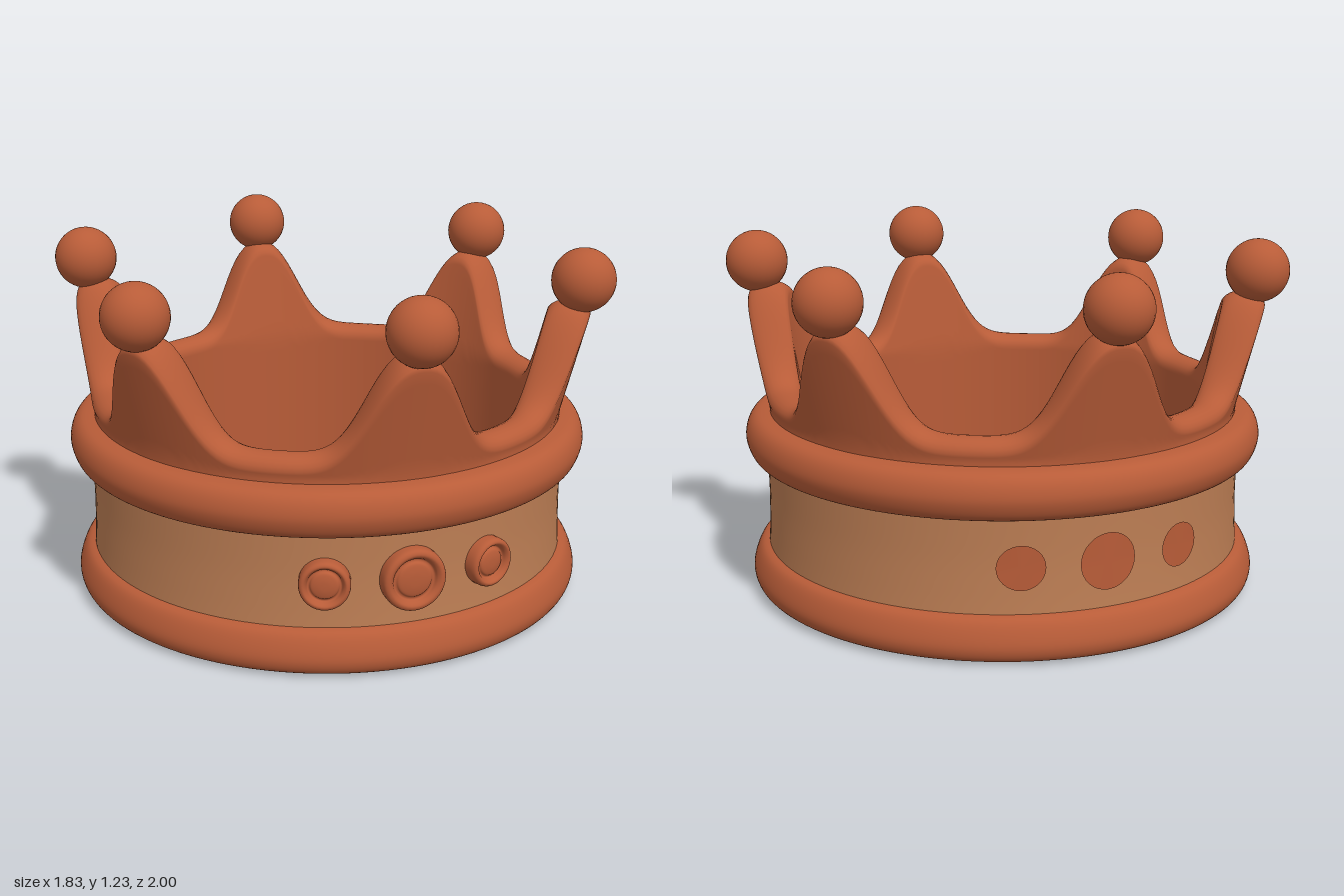
import * as THREE from 'three';

const rust = new THREE.MeshStandardMaterial({ color: 0xb85c38 });
rust.name = 'rust';
const tan = new THREE.MeshStandardMaterial({ color: 0xbd7e54 });
tan.name = 'tan';

const POINTS = 6;

function addMesh(parent, name, geometry, material) {
  const mesh = new THREE.Mesh(geometry, material);
  mesh.name = name;
  parent.add(mesh);
  return mesh;
}

// Smooth ring turned from a few [radius, height] points
function turned(points, samples, segments = 128) {
  const curve = new THREE.SplineCurve(points.map(p => new THREE.Vector2(p[0], p[1])));
  return new THREE.LatheGeometry(curve.getPoints(samples), segments);
}

// Height of the scalloped top edge at an angle around the crown
function edgeHeight(angle) {
  const step = (Math.PI * 2) / POINTS;
  const offset = Math.abs(angle - Math.round(angle / step) * step);
  const degrees = THREE.MathUtils.radToDeg(offset);
  return 0.715 + 0.335 * Math.exp(-Math.pow(degrees / 12, 2.4));
}

// Flared wall with six peaks: a rounded cross-section swept around the crown
function scallopedWall() {
  const around = 288, rows = 10, round = 10, low = 0.58;
  const outer = y => 0.83 + 0.25 * Math.max(0, y - 0.65);
  const inner = y => 0.715 + 0.17 * Math.max(0, y - 0.68);
  const positions = [], indices = [];
  let count = 0;
  for (let i = 0; i < around; i++) {
    const angle = (i / around) * Math.PI * 2;
    const shoulder = edgeHeight(angle) - 0.045;
    const section = [];
    for (let j = 0; j < rows; j++) {
      const y = low + (shoulder - low) * (j / rows);
      section.push([outer(y), y]);
    }
    const mid = (outer(shoulder) + inner(shoulder)) / 2;
    const half = (outer(shoulder) - inner(shoulder)) / 2;
    for (let j = 0; j <= round; j++) {
      const t = (j / round) * Math.PI;
      section.push([mid + half * Math.cos(t), shoulder + 0.045 * Math.sin(t)]);
    }
    for (let j = rows - 1; j >= 0; j--) {
      const y = low + (shoulder - low) * (j / rows);
      section.push([inner(y), y]);
    }
    count = section.length;
    for (const [r, y] of section) positions.push(r * Math.sin(angle), y, r * Math.cos(angle));
  }
  for (let i = 0; i < around; i++) {
    for (let j = 0; j < count - 1; j++) {
      const a = i * count + j, b = ((i + 1) % around) * count + j;
      indices.push(a, b, a + 1, b + 1, a + 1, b);
    }
  }
  const geometry = new THREE.BufferGeometry();
  geometry.setAttribute('position', new THREE.Float32BufferAttribute(positions, 3));
  geometry.setIndex(indices);
  geometry.computeVertexNormals();
  return geometry;
}

// Round stud with a raised rim, a groove and a low centre
function stud(radius) {
  const profile = [[1, 0], [1, 0.03], [0.95, 0.045], [0.83, 0.05], [0.72, 0.042],
    [0.66, 0.03], [0.58, 0.03], [0.5, 0.038], [0.25, 0.043], [0, 0.044]];
  const geometry = turned(profile.map(([r, y]) => [r * radius, y]), 36, 40);
  return geometry.rotateX(Math.PI / 2);
}

// Flat spot wrapped onto the back of the band
function spot(radius, x) {
  const geometry = new THREE.CircleGeometry(radius, 32);
  const p = geometry.attributes.position;
  const r = 0.853;
  for (let i = 0; i < p.count; i++) {
    const px = p.getX(i) + x;
    p.setXYZ(i, -px, p.getY(i) + 0.31, -Math.sqrt(r * r - px * px));
  }
  geometry.computeVertexNormals();
  return geometry;
}

export function createModel() {
  const crown = new THREE.Group();
  crown.name = 'crown';

  // Band, rims and inside
  addMesh(crown, 'band', turned([[0.85, 0.13], [0.845, 0.22], [0.842, 0.34], [0.845, 0.5]], 16), tan);
  addMesh(crown, 'lowerRim', turned([[0.715, 0.06], [0.725, 0.02], [0.755, 0.002], [0.8, 0], [0.855, 0.002],
    [0.893, 0.018], [0.907, 0.058], [0.895, 0.108], [0.872, 0.145], [0.835, 0.158]], 40), rust);
  addMesh(crown, 'upperRim', turned([[0.835, 0.468], [0.872, 0.472], [0.9, 0.495], [0.916, 0.545],
    [0.905, 0.595], [0.875, 0.625], [0.82, 0.634]], 32), rust);
  addMesh(crown, 'insideWall', turned([[0.715, 0.6], [0.715, 0.3], [0.715, 0.05]], 8), rust);

  // Peaks and the balls on them
  addMesh(crown, 'scallopedWall', scallopedWall(), rust);
  const ball = new THREE.SphereGeometry(0.11, 32, 24);
  for (let i = 0; i < POINTS; i++) {
    const angle = (i / POINTS) * Math.PI * 2;
    addMesh(crown, 'ball', ball, rust).position.set(0.89 * Math.sin(angle), 1.122, 0.89 * Math.cos(angle));
  }

  // Studs on the front, spots on the back
  for (const [x, radius] of [[-0.28, 0.083], [0, 0.106], [0.28, 0.083]]) {
    const angle = Math.asin(x / 0.86);
    const mesh = addMesh(crown, 'stud', stud(radius), rust);
    mesh.position.set(0.836 * Math.sin(angle), 0.31, 0.836 * Math.cos(angle));
    mesh.rotation.y = angle;
    addMesh(crown, 'backSpot', spot(radius * 0.9, x), rust);
  }
  return crown;
}
